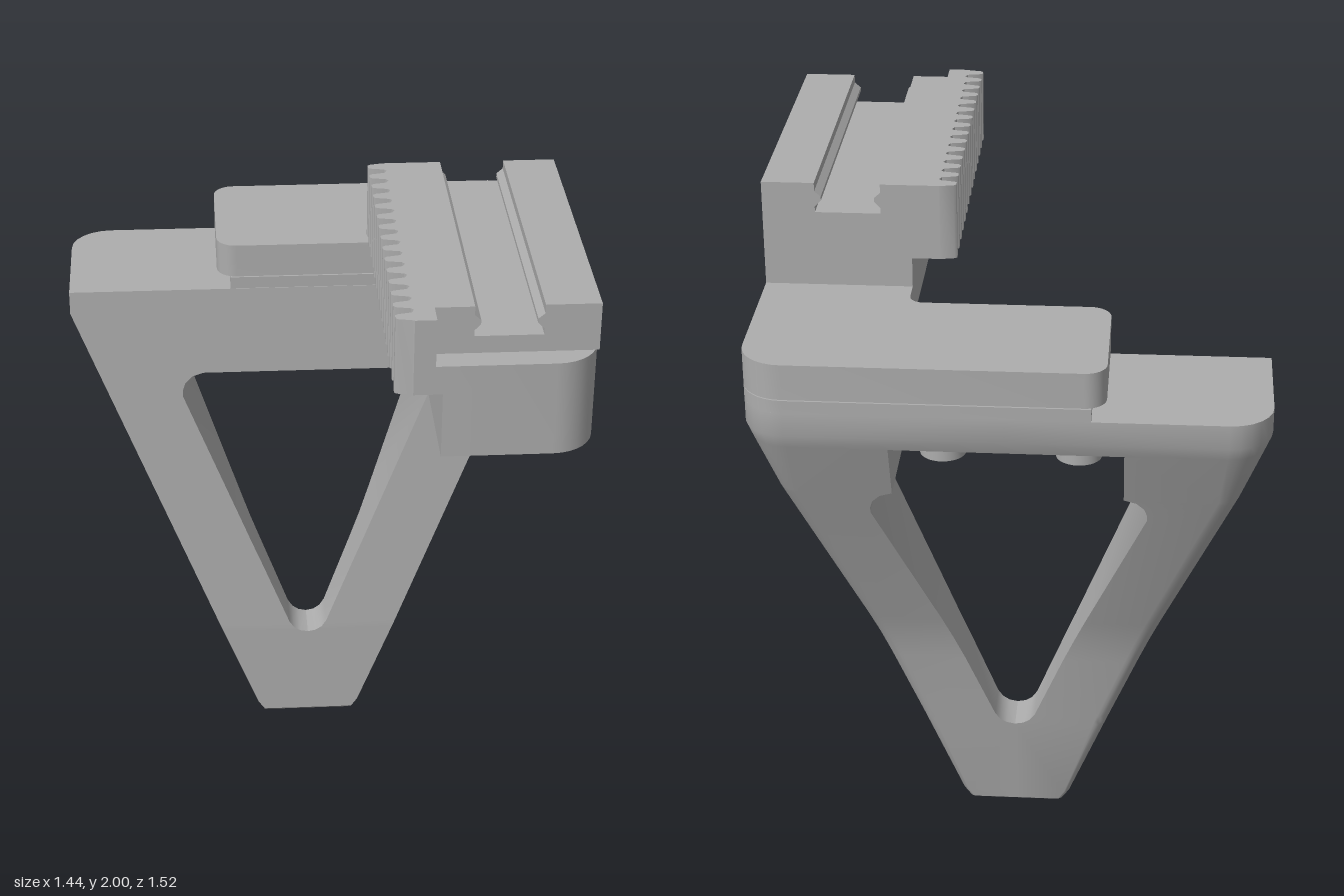
import * as THREE from 'three';
import { toCreasedNormals } from 'three/addons/utils/BufferGeometryUtils.js';

const grey = new THREE.MeshStandardMaterial({ color: 0xadadad });
grey.name = 'machined grey';

function addMesh(parent, name, geometry) {
  const mesh = new THREE.Mesh(toCreasedNormals(geometry, 0.6), grey);
  mesh.name = name;
  parent.add(mesh);
  return mesh;
}

// Piecewise linear lookup in [y, value] pairs
function lookup(table, y) {
  if (y <= table[0][0]) return table[0][1];
  for (let i = 1; i < table.length; i++) {
    const [y0, v0] = table[i - 1], [y1, v1] = table[i];
    if (y <= y1) return v0 + (v1 - v0) * (y - y0) / (y1 - y0);
  }
  return table[table.length - 1][1];
}

// Plan outline of [x, z, radius] corners, extruded upward from y0 to y1
function planGeometry(corners, y0, y1) {
  const shape = new THREE.Shape();
  const n = corners.length;
  corners.forEach(([x, z, r = 0], i) => {
    const p = new THREE.Vector2(x, -z);
    const toward = ([qx, qz]) => new THREE.Vector2(qx, -qz).sub(p).setLength(r).add(p);
    const a = r ? toward(corners[(i + n - 1) % n]) : p;
    if (i === 0) shape.moveTo(a.x, a.y); else shape.lineTo(a.x, a.y);
    if (r) {
      const b = toward(corners[(i + 1) % n]);
      const k = 0.5523;
      const c1 = a.clone().lerp(p, k), c2 = b.clone().lerp(p, k);
      shape.bezierCurveTo(c1.x, c1.y, c2.x, c2.y, b.x, b.y);
    }
  });
  shape.closePath();
  return new THREE.ExtrudeGeometry(shape, { depth: y1 - y0, bevelEnabled: false, curveSegments: 8 })
    .rotateX(-Math.PI / 2).translate(0, y0, 0);
}

// Bracket limits by height: outer half width, front, back and back corner radius
const outerX = [[0, 0.12], [0.01, 0.145], [0.04, 0.165], [1.48, 0.72]];
const frontZ = [[0, -0.27], [0.01, -0.26], [0.34, -0.26], [1.59, -0.333]];
const backZ = [[0, -0.32], [0.01, -0.333], [0.58, -0.425], [0.66, -0.443], [0.74, -0.47], [1.48, -0.76]];
const cornerR = [[0, 0.02], [0.34, 0.04], [1.3, 0.06], [1.48, 0.12]];

// Levels [y, inner half width]; the inner width follows the window and rear pocket
const levels = [
  [0, 0], [0.01, 0], [0.04, 0], [0.32, 0], [0.325, 0.025], [0.338, 0.045], [0.36, 0.06],
  [0.58, 0.146], [0.66, 0.178], [0.74, 0.209], [1.19, 0.385], [1.21, 0.385], [1.235, 0.377],
  [1.258, 0.355], [1.27, 0.32], [1.44, 0.32], [1.44, 0], [1.48, 0], [1.55, 0],
];

function ring(y, xi) {
  const xo = lookup(outerX, y), f = lookup(frontZ, y), b = lookup(backZ, y), r = lookup(cornerR, y);
  const points = [[xi, y, f], [xo, y, f]];
  for (let i = 0; i <= 6; i++) {
    const a = i / 6 * Math.PI / 2;
    points.push([xo - r + r * Math.cos(a), y, b + r - r * Math.sin(a)]);
  }
  points.push([xi, y, b]);
  return points;
}

// One half of the bracket, side is +1 or -1
function bracketHalf(side) {
  const rings = levels.map(([y, xi]) => ring(y, xi));
  const positions = [];
  const tri = (a, b, c) => {
    for (const p of side > 0 ? [a, b, c] : [a, c, b]) positions.push(p[0] * side, p[1], p[2]);
  };
  const n = rings[0].length;
  for (let k = 0; k + 1 < rings.length; k++) {
    const lo = rings[k], hi = rings[k + 1];
    for (let i = 0; i < n; i++) {
      const j = (i + 1) % n;
      tri(lo[i], lo[j], hi[j]);
      tri(lo[i], hi[j], hi[i]);
    }
  }
  const bottom = rings[0], top = rings[rings.length - 1];
  for (let i = 1; i + 1 < n; i++) {
    tri(bottom[0], bottom[i + 1], bottom[i]);
    tri(top[0], top[i], top[i + 1]);
  }
  const geometry = new THREE.BufferGeometry();
  geometry.setAttribute('position', new THREE.Float32BufferAttribute(positions, 3));
  geometry.computeVertexNormals();
  return geometry;
}

function createBracket() {
  const bracket = new THREE.Group();
  bracket.name = 'bracket';
  addMesh(bracket, 'leftBracketHalf', bracketHalf(1));
  addMesh(bracket, 'rightBracketHalf', bracketHalf(-1));

  // Thin wall in front of the screw pocket
  const fa = lookup(frontZ, 1.27), fb = lookup(frontZ, 1.44);
  const wall = new THREE.Shape([[fa, 1.27], [fb, 1.44], [fb - 0.06, 1.44], [fa - 0.06, 1.27]]
    .map(([z, y]) => new THREE.Vector2(z, y)));
  addMesh(bracket, 'pocketWall', new THREE.ExtrudeGeometry(wall, { depth: 0.64, bevelEnabled: false })
    .translate(0, 0, -0.32).rotateY(-Math.PI / 2));

  // Raised seat under the arm
  addMesh(bracket, 'raisedSeat', planGeometry([
    [-0.23, -0.333], [0.72, -0.333], [0.72, -0.76, 0.12], [-0.23, -0.76],
  ], 1.55, 1.587));

  // Socket head screws hanging in the pocket
  for (const x of [-0.19, 0.19]) {
    const head = new THREE.Shape().absarc(0, 0, 0.065, 0, Math.PI * 2);
    const socket = [];
    for (let i = 0; i < 6; i++) {
      socket.push(new THREE.Vector2(0.035 * Math.cos(i * Math.PI / 3), 0.035 * Math.sin(i * Math.PI / 3)));
    }
    head.holes.push(new THREE.Path(socket));
    const geometry = new THREE.ExtrudeGeometry(head, { depth: 0.11, bevelEnabled: false, curveSegments: 16 });
    addMesh(bracket, 'screwHead', geometry.rotateX(-Math.PI / 2).translate(x, 1.33, -0.53));
  }
  return bracket;
}

function createArm() {
  const arm = new THREE.Group();
  arm.name = 'arm';
  // Flat plate with a neck that runs to the rail
  addMesh(arm, 'armPlate', planGeometry([
    [-0.27, -0.333, 0.06], [0.3, -0.333, 0.04], [0.3, -0.225], [0.72, -0.225],
    [0.72, -0.76, 0.12], [-0.27, -0.76, 0.06],
  ], 1.59, 1.693));

  // Rail base with a rounded front corner
  addMesh(arm, 'railBase', planGeometry([
    [0.3, 0.76], [0.72, 0.76, 0.12], [0.72, -0.225], [0.3, -0.225],
  ], 1.59, 1.863));
  addMesh(arm, 'railLip', planGeometry([
    [0.28, 0.76], [0.3, 0.76], [0.3, -0.225], [0.28, -0.225],
  ], 1.78, 1.863));

  // Grooved upper rail, stopping short of the front end
  const profile = [
    [0.28, 1.863], [0.72, 1.863], [0.72, 2], [0.571, 2], [0.571, 1.975], [0.553, 1.96], [0.553, 1.948],
    [0.571, 1.93], [0.571, 1.913], [0.386, 1.913], [0.386, 1.93], [0.403, 1.948], [0.403, 1.96],
    [0.386, 1.975], [0.386, 2], [0.28, 2],
  ].map(([x, y]) => new THREE.Vector2(x, y));
  addMesh(arm, 'groovedRail', new THREE.ExtrudeGeometry(new THREE.Shape(profile),
    { depth: 0.915, bevelEnabled: false }).translate(0, 0, -0.225));

  // Toothed rack along the right edge
  const rack = [[0.28, 0.76], [0.28, -0.225], [0.222, -0.225]];
  for (let i = 0; i < 15; i++) {
    const z = -0.203 + i * 0.067;
    rack.push([0.218, z - 0.022], [0.18, z - 0.014], [0.173, z - 0.008],
      [0.173, z + 0.008], [0.18, z + 0.014], [0.218, z + 0.022], [0.225, z + 0.03]);
  }
  rack[rack.length - 1] = [0.222, 0.76];
  addMesh(arm, 'toothedRack', planGeometry(rack, 1.78, 2));
  return arm;
}

export function createModel() {
  const model = new THREE.Group();
  model.name = 'railBracket';
  model.add(createBracket(), createArm());
  return model;
}
